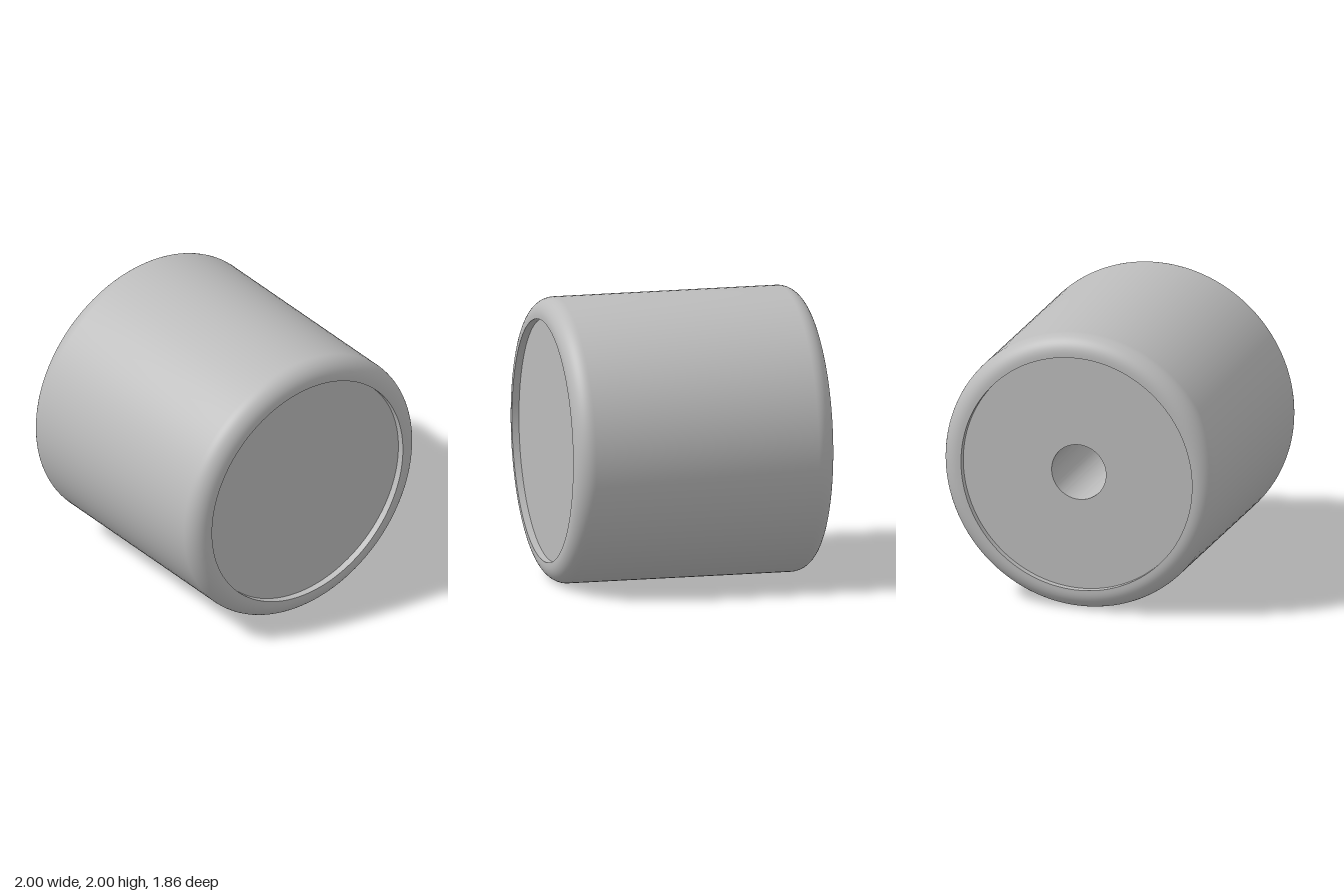
import * as THREE from 'three';
import { toCreasedNormals } from 'three/addons/utils/BufferGeometryUtils.js';

export function createModel() {
  const model = new THREE.Group();
  const grey = new THREE.MeshStandardMaterial({ color: 0xbcbcbc });
  grey.name = 'plain grey';

  const radius = 1, half = 0.93, fillet = 0.13;
  const recessRadius = 0.85, recessDepth = 0.05;
  const boreRadius = 0.2, boreDepth = 1.3;
  const floor = half - recessDepth;

  // Half section of the knob, from the back (-) to the front (+)
  const profile = [];
  const add = (r, z) => profile.push(new THREE.Vector2(r, z));
  const addFillet = (z, from) => {
    for (let i = 0; i <= 12; i++) {
      const a = from + (i / 12) * (Math.PI / 2);
      add(radius - fillet + fillet * Math.cos(a), z + fillet * Math.sin(a));
    }
  };

  // Blind bore in the back, then the recessed back face
  add(0, -floor + boreDepth);
  add(boreRadius, -floor + boreDepth);
  add(boreRadius, -floor);
  add(recessRadius, -floor);
  add(recessRadius, -half);
  // Rounded outer wall
  addFillet(-half + fillet, -Math.PI / 2);
  addFillet(half - fillet, 0);
  // Recessed front face
  add(recessRadius, half);
  add(recessRadius, floor);
  add(0, floor);

  const geometry = toCreasedNormals(new THREE.LatheGeometry(profile, 128), Math.PI / 6);
  geometry.rotateX(Math.PI / 2);

  const body = new THREE.Mesh(geometry, grey);
  body.name = 'knobBody';
  body.position.y = radius;
  model.add(body);
  return model;
}
